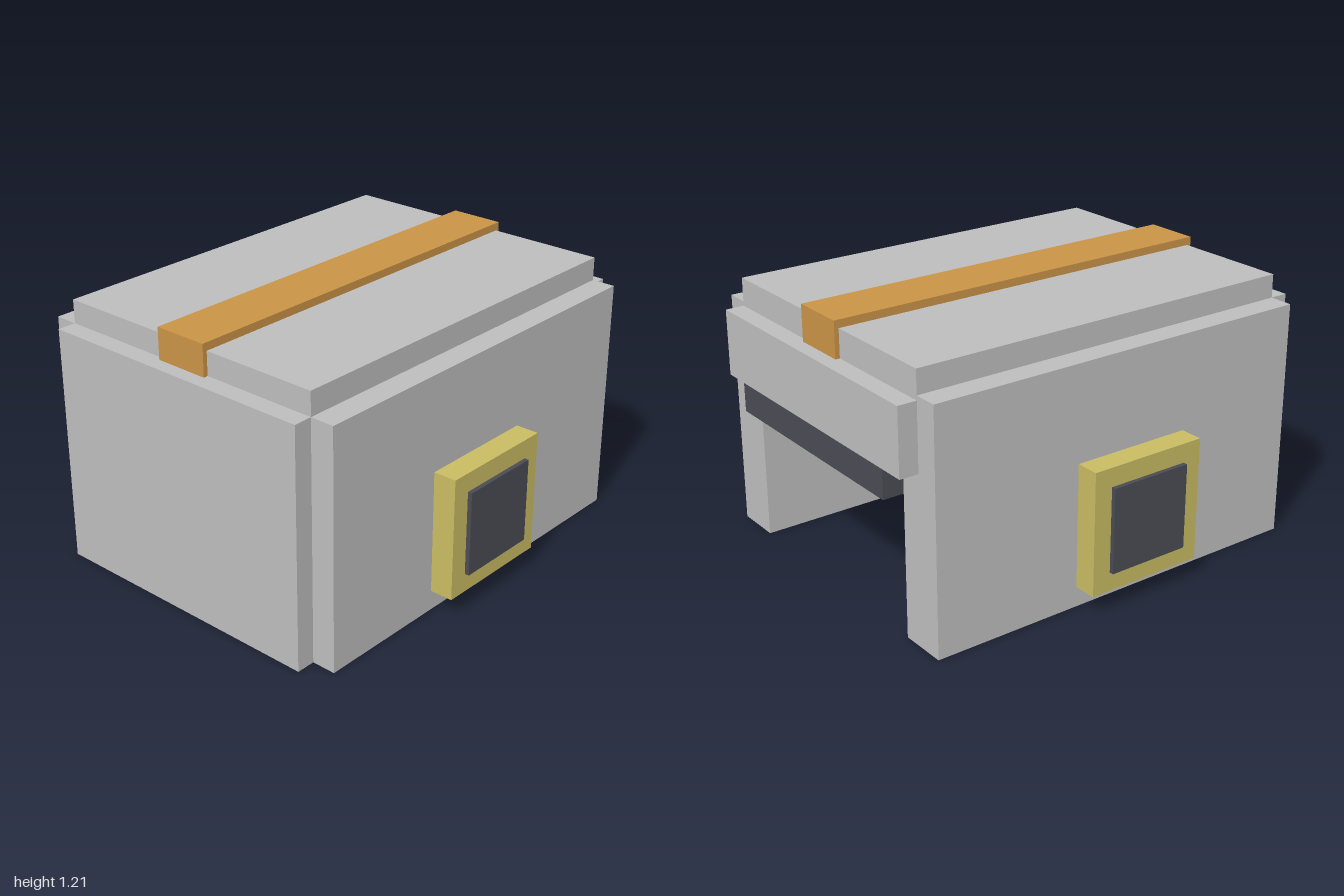
import * as THREE from 'three';

const mat = (name, color) => {
  const m = new THREE.MeshStandardMaterial({ color });
  m.name = name;
  return m;
};

export function createModel() {
  const grey = mat('light grey', 0xbdbdbe);
  const orange = mat('orange', 0xc99347);
  const yellow = mat('dull yellow', 0xc8bb62);
  const dark = mat('charcoal', 0x4b4b54);

  const model = new THREE.Group();
  model.name = 'openBackedShelter';

  // Box given by its limits on each axis
  const box = (name, material, [x0, x1], [y0, y1], [z0, z1]) => {
    const mesh = new THREE.Mesh(new THREE.BoxGeometry(x1 - x0, y1 - y0, z1 - z0), material);
    mesh.position.set((x0 + x1) / 2, (y0 + y1) / 2, (z0 + z1) / 2);
    mesh.name = name;
    model.add(mesh);
  };

  // Shell: front wall, roof slab and the beam over the open back
  box('frontWall', grey, [-0.66, 0.66], [0, 1.065], [0.8, 1]);
  box('roof', grey, [-0.66, 0.66], [0.88, 1.17], [-0.915, 0.915]);
  box('backBeam', grey, [-0.66, 0.66], [0.75, 1.045], [-1, -0.8]);

  // Dark bar below the beam
  box('beamBar', dark, [-0.54, 0.54], [0.62, 0.8], [-0.999, -0.88]);

  // Strap along the roof, dropping over both ends
  box('roofStrap', orange, [-0.125, 0.125], [1.04, 1.205], [-0.935, 0.935]);

  // Side walls with framed panels, mirrored left and right
  for (const [side, s] of [['left', 1], ['right', -1]]) {
    const span = (a, b) => (s > 0 ? [a, b] : [-b, -a]);
    box(side + 'Wall', grey, span(0.555, 0.768), [0, 1.065], [-0.915, 0.915]);
    box(side + 'PanelFrame', yellow, span(0.76, 0.873), [0.09, 0.64], [-0.233, 0.32]);
    box(side + 'Panel', dark, span(0.86, 0.893), [0.175, 0.555], [-0.148, 0.235]);
  }

  return model;
}
